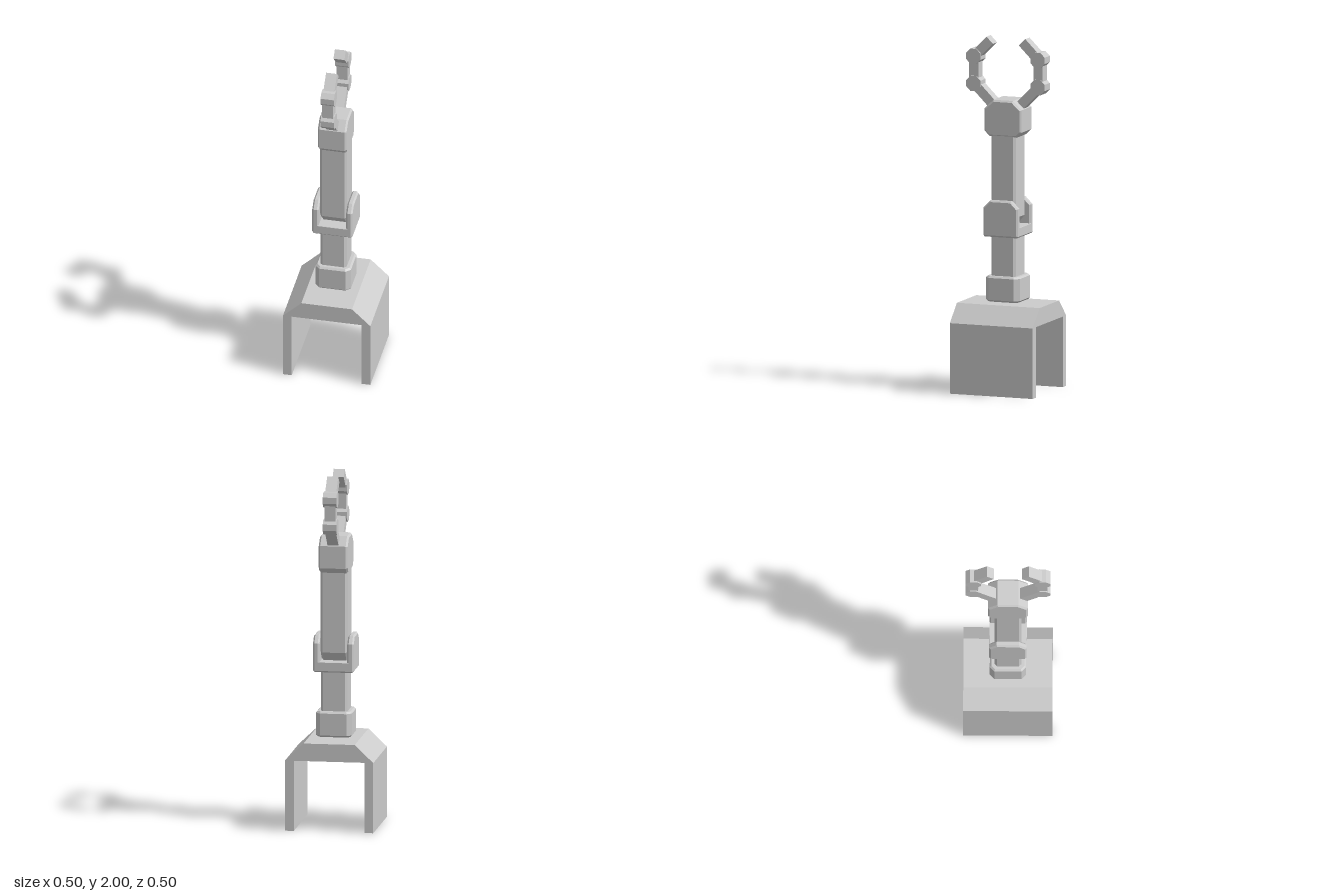
import * as THREE from 'three';

const material = new THREE.MeshStandardMaterial({ color: 0xcccccc, flatShading: true });

function add(parent, name, geometry) {
  const mesh = new THREE.Mesh(geometry, material);
  mesh.name = name;
  parent.add(mesh);
  return mesh;
}

// Extrudes a profile along z, centred, with an optional chamfer kept inside the outline
function prism(points, depth, bevel = 0) {
  const shape = new THREE.Shape(points.map(([a, b]) => new THREE.Vector2(a, b)));
  return new THREE.ExtrudeGeometry(shape, {
    depth: depth - 2 * bevel,
    bevelEnabled: bevel > 0,
    bevelThickness: bevel,
    bevelSize: bevel,
    bevelOffset: -bevel,
    bevelSegments: 1,
  }).translate(0, 0, -depth / 2 + bevel);
}

// Side profile (z, y) extruded across x
const sidePrism = (points, width, bevel) => prism(points, width, bevel).rotateY(-Math.PI / 2);

// Rectangle with cut corners: bottom cut (w, h) and top cut (w, h)
function cutRect(half, y0, y1, [bw, bh], [tw, th]) {
  return [
    [-half + bw, y0], [half - bw, y0], [half, y0 + bh], [half, y1 - th],
    [half - tw, y1], [-half + tw, y1], [-half, y1 - th], [-half, y0 + bh],
  ];
}

// Upright column with chamfered vertical edges
function column(half, cut, y0, y1, bevel) {
  return prism(cutRect(half, -half, half, [cut, cut], [cut, cut]), y1 - y0, bevel)
    .rotateX(-Math.PI / 2).translate(0, (y0 + y1) / 2, 0);
}

// Square bar between two (z, y) points
function bar(parent, name, [z0, y0], [z1, y1], width, thick) {
  const mesh = add(parent, name, new THREE.BoxGeometry(width, Math.hypot(z1 - z0, y1 - y0), thick));
  mesh.position.set(0, (y0 + y1) / 2, (z0 + z1) / 2);
  mesh.rotation.x = Math.atan2(z1 - z0, y1 - y0);
}

export function createModel() {
  const model = new THREE.Group();
  model.name = 'roboticArm';

  // Saddle-shaped stand
  add(model, 'base', prism([
    [-0.25, 0], [-0.2, 0], [-0.2, 0.4], [0.2, 0.4], [0.2, 0], [0.25, 0],
    [0.25, 0.4], [0.145, 0.5], [-0.145, 0.5], [-0.25, 0.4],
  ], 0.5));

  // Shoulder collar and lower arm
  add(model, 'collar', column(0.102, 0.026, 0.51, 0.655, 0.01));
  add(model, 'lowerArm', column(0.075, 0.013, 0.64, 0.9, 0));

  // Elbow fork: floor with two upright cheeks
  const fork = new THREE.Group();
  fork.name = 'elbowFork';
  model.add(fork);
  add(fork, 'forkFloor', sidePrism(cutRect(0.105, 0.88, 0.938, [0.008, 0.008], [0.002, 0.002]), 0.2));
  for (const side of [-1, 1]) {
    add(fork, 'forkCheek', sidePrism(
      cutRect(0.105, 0.88, 1.087, [0.008, 0.008], [0.042, 0.042]), 0.037, 0.009,
    )).position.x = side * 0.097;
  }

  // Upper arm, its foot cut to swing inside the fork
  add(model, 'upperArm', sidePrism(
    cutRect(0.075, 0.938, 1.47, [0.04, 0.05], [0.014, 0.014]), 0.154, 0.013,
  ));

  // Palm block
  add(model, 'palm', sidePrism(
    cutRect(0.112, 1.445, 1.652, [0.03, 0.03], [0.053, 0.05]), 0.164, 0.01,
  ));

  // Two opposed fingers
  for (const side of [-1, 1]) {
    const finger = new THREE.Group();
    finger.name = side > 0 ? 'frontFinger' : 'backFinger';
    model.add(finger);
    const joints = [[0.075, 1.612], [0.194, 1.731], [0.194, 1.885], [0.098, 1.981]]
      .map(([z, y]) => [side * z, y]);
    ['lowerSegment', 'middleSegment', 'tipSegment'].forEach((name, i) =>
      bar(finger, name, joints[i], joints[i + 1], 0.063, 0.055));
    for (const [z, y] of joints.slice(1, 3)) {
      const radius = 0.043 / Math.cos(Math.PI / 8);
      const knuckle = new THREE.CylinderGeometry(radius, radius, 0.077, 8)
        .rotateY(Math.PI / 8).rotateZ(Math.PI / 2);
      add(finger, 'knuckle', knuckle).position.set(0, y, z);
    }
  }
  return model;
}
